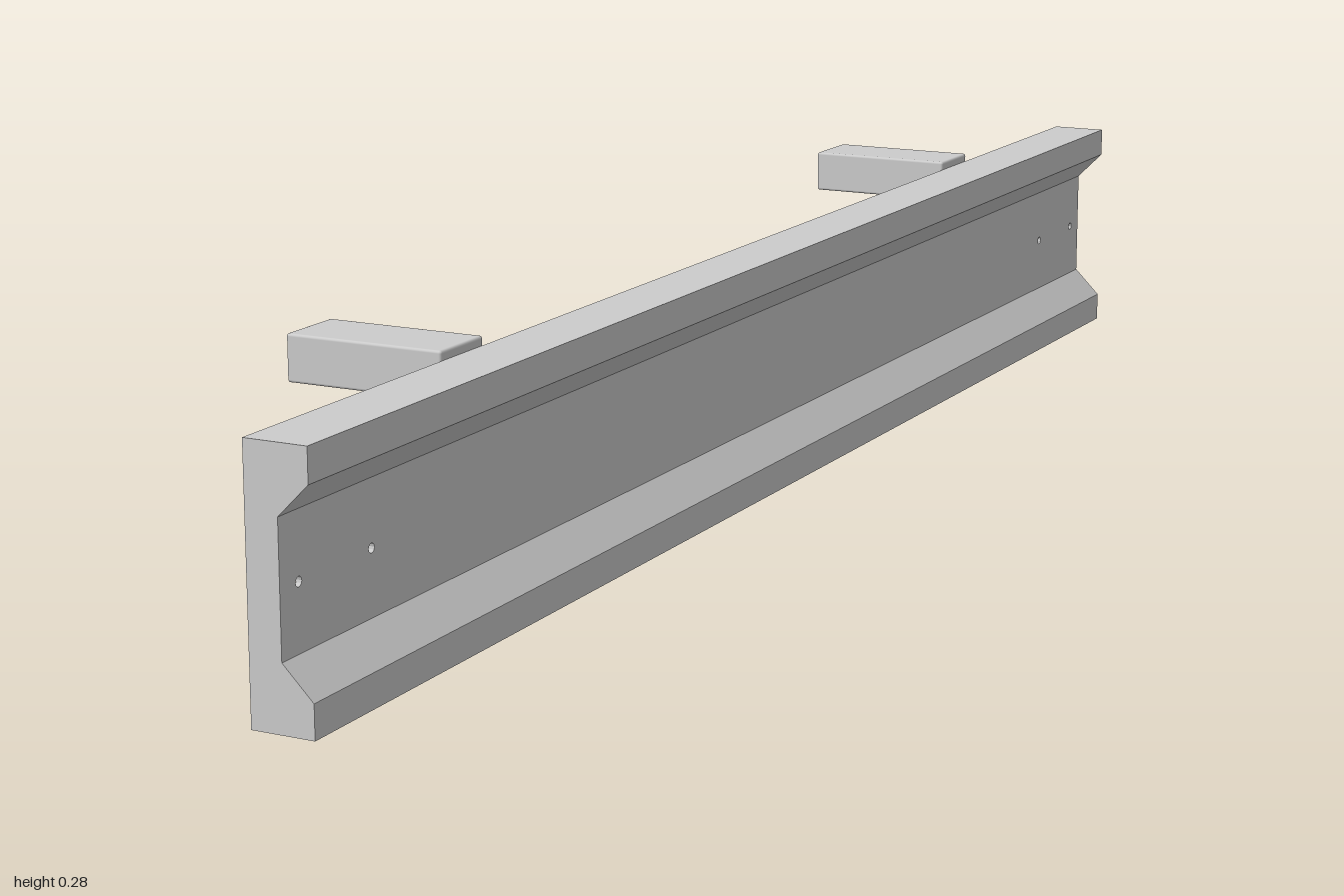
import * as THREE from 'three';
import { RoundedBoxGeometry } from 'three/addons/geometries/RoundedBoxGeometry.js';

const H = 0.27;      // beam height
const T = 0.006;     // sheet thickness
const BACK = 0.055;  // x of the open rear side
const WEB = 0.09;    // x of the recessed outer face
const FRONT = 0.123; // x of the flange faces
const LEN = 2;

const material = new THREE.MeshStandardMaterial({ color: 0xcccccc, side: THREE.DoubleSide });

function addMesh(parent, name, geometry) {
  const mesh = new THREE.Mesh(geometry, material);
  mesh.name = name;
  parent.add(mesh);
  return mesh;
}

function shapeOf(points) {
  return new THREE.Shape(points.map(([x, y]) => new THREE.Vector2(x, y)));
}

// Profile in the x-y plane, swept along z and centred
function sweep(points, length) {
  const geometry = new THREE.ExtrudeGeometry(shapeOf(points), { depth: length, bevelEnabled: false });
  return geometry.translate(0, 0, -length / 2);
}

// Upright sheet in the z-y plane whose outer face is at x
function panel(x, y0, y1, holes) {
  const half = LEN / 2 - T;
  const shape = shapeOf([[-half, y0], [half, y0], [half, y1], [-half, y1]]);
  shape.holes.push(...holes);
  const geometry = new THREE.ExtrudeGeometry(shape, { depth: T, bevelEnabled: false, curveSegments: 6 });
  return geometry.rotateY(-Math.PI / 2).translate(x, 0, 0);
}

function roundHole(z, y, r) {
  const path = new THREE.Path();
  path.absarc(z, y, r, 0, Math.PI * 2, true);
  return path;
}

function slot(z, y, length, height) {
  const a = length / 2, b = height / 2;
  return new THREE.Path([[-a, -b], [-a, b], [a, b], [a, -b]].map(([u, v]) => new THREE.Vector2(z + u, y + v)));
}

export function createModel() {
  const model = new THREE.Group();
  model.name = 'beamWithBrackets';

  const beam = new THREE.Group();
  beam.name = 'channelBeam';
  model.add(beam);

  // Bent flanges and slotted rear lips, mirrored top to bottom
  const flange = [
    [BACK, 0], [FRONT, 0], [FRONT, 0.035], [WEB, 0.068],
    [WEB - T, 0.0655], [FRONT - T, 0.0325], [FRONT - T, T], [BACK, T],
  ];
  for (const top of [false, true]) {
    const flip = (y) => (top ? H - y : y);
    const prefix = top ? 'top' : 'bottom';
    addMesh(beam, prefix + 'Flange', sweep(flange.map(([x, y]) => [x, flip(y)]), LEN - 2 * T));
    const slots = [-0.68, -0.3, 0.3, 0.68].map((z) => slot(z, flip(0.022), 0.2, 0.006));
    const ys = [flip(T), flip(0.035)].sort((a, b) => a - b);
    addMesh(beam, prefix + 'RearLip', panel(BACK + T, ys[0], ys[1], slots));
  }

  // Recessed web with small fixing holes
  const holes = [-0.97, -0.85, 0.85, 0.97].map((z) => roundHole(z, H / 2, 0.005));
  addMesh(beam, 'web', panel(WEB, 0.0655, H - 0.0655, holes));

  // End plates with three small bolts on the inside
  const outline = [
    [BACK, 0], [FRONT, 0], [FRONT, 0.035], [WEB, 0.068],
    [WEB, H - 0.068], [FRONT, H - 0.035], [FRONT, H], [BACK, H],
  ];
  for (const side of [-1, 1]) {
    const plate = addMesh(beam, side > 0 ? 'frontEndPlate' : 'backEndPlate', sweep(outline, T));
    plate.position.z = side * (LEN / 2 - T / 2);
    for (const dy of [-0.035, 0, 0.035]) {
      const bolt = addMesh(beam, 'endBolt', new THREE.CylinderGeometry(0.005, 0.005, 0.003, 10).rotateX(Math.PI / 2));
      bolt.position.set(0.07, H / 2 + dy, side * (LEN / 2 - T - 0.0015));
    }
  }

  // Support arms reaching out behind the beam
  for (const side of [-1, 1]) {
    const arm = addMesh(model, side > 0 ? 'frontArm' : 'backArm', new RoundedBoxGeometry(0.179, 0.05, 0.08, 2, 0.003));
    arm.position.set(-0.0345, 0.255, side * 0.625);
  }

  return model;
}
